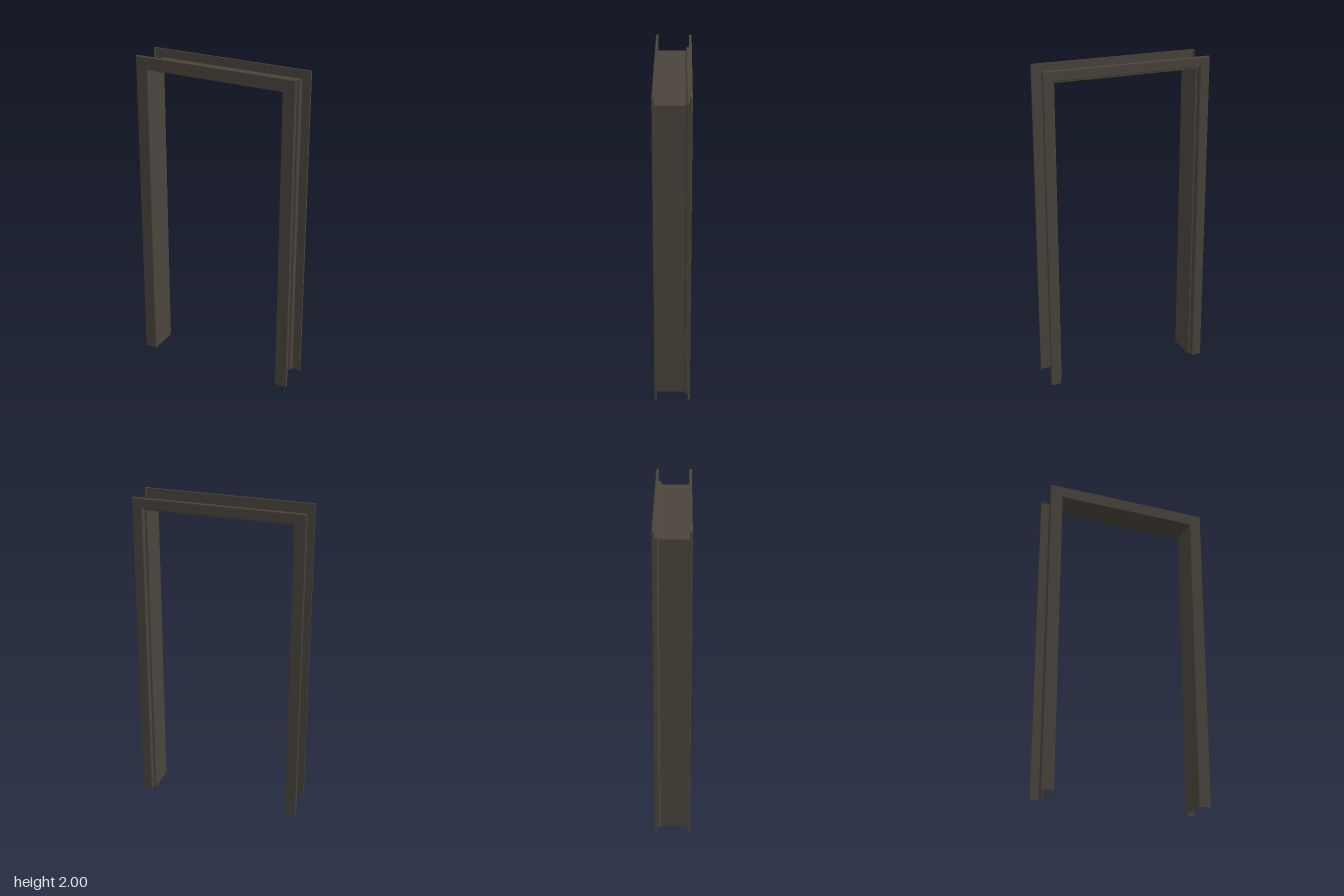
import * as THREE from 'three';

const HALF = 0.443;   // half the opening width
const HEAD = 1.921;   // height of the opening
const SHEET = 0.003;  // metal thickness
const BEND = 0.004;   // size of each bend

// Folded sheet profile: [distance outward from the opening, z]
const corners = [
  [0.079, 0.094], [0.079, 0.11], [0, 0.11],          // front lip and casing
  [0, -0.079], [0.017, -0.079],                      // jamb and door rebate
  [0.017, -0.11], [0.079, -0.11], [0.079, -0.094],   // back casing and lip
].map(([o, z]) => new THREE.Vector2(o, z));

// Replace each corner with a small bend
function bendCorners(points) {
  const out = [points[0]];
  for (let i = 1; i < points.length - 1; i++) {
    for (const next of [points[i - 1], points[i + 1]]) {
      const d = next.clone().sub(points[i]).setLength(BEND);
      out.push(points[i].clone().add(d));
    }
  }
  out.push(points[points.length - 1]);
  return out;
}

// Offset the profile to its hidden side by the sheet thickness
function offset(points) {
  const normals = points.slice(1).map((p, i) => {
    const d = p.clone().sub(points[i]).normalize();
    return new THREE.Vector2(-d.y, d.x);
  });
  return points.map((p, i) => {
    const a = normals[Math.max(i - 1, 0)];
    const b = normals[Math.min(i, normals.length - 1)];
    return p.clone().addScaledVector(a.clone().add(b), SHEET / (1 + a.dot(b)));
  });
}

const face = bendCorners(corners);
const back = offset(face);
const loop = [...face, ...back.slice().reverse()];

// Stations around the opening: two feet and two mitred corners
const stations = [
  (p) => [HALF + p.x, 0, p.y],
  (p) => [HALF + p.x, HEAD + p.x, p.y],
  (p) => [-HALF - p.x, HEAD + p.x, p.y],
  (p) => [-HALF - p.x, 0, p.y],
];

// One straight member of the frame between two stations
function member(name, index, material) {
  const positions = [];
  const quad = (a, b, c, d) => positions.push(...a, ...b, ...c, ...a, ...c, ...d);
  const s = stations[index], e = stations[index + 1];
  loop.forEach((p, i) => {
    const q = loop[(i + 1) % loop.length];
    quad(s(p), e(p), e(q), s(q));
  });
  // Cut edge of the sheet at the feet
  for (let i = 0; i < face.length - 1; i++) {
    if (index === 0) quad(s(face[i]), s(face[i + 1]), s(back[i + 1]), s(back[i]));
    if (index === 2) quad(e(face[i]), e(back[i]), e(back[i + 1]), e(face[i + 1]));
  }
  const geometry = new THREE.BufferGeometry();
  geometry.setAttribute('position', new THREE.Float32BufferAttribute(positions, 3));
  geometry.computeVertexNormals();
  const mesh = new THREE.Mesh(geometry, material);
  mesh.name = name;
  return mesh;
}

export function createModel() {
  const group = new THREE.Group();
  group.name = 'doorFrame';
  const metal = new THREE.MeshStandardMaterial({ color: 0x4a443c });
  metal.name = 'dark bronze metal';
  ['leftJamb', 'head', 'rightJamb'].forEach((name, i) => group.add(member(name, i, metal)));
  return group;
}
